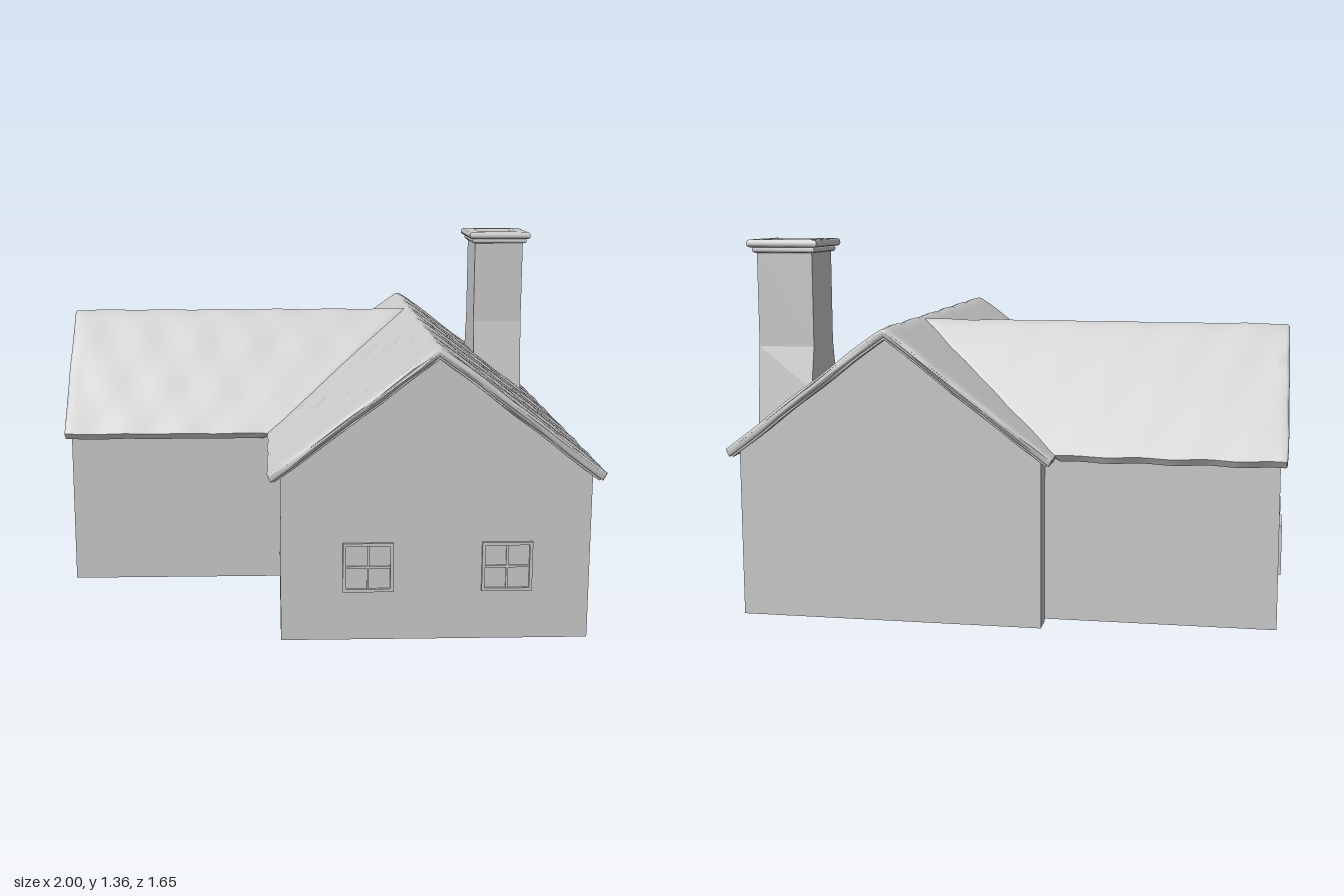
import * as THREE from 'three';
import { toCreasedNormals } from 'three/addons/utils/BufferGeometryUtils.js';

const material = new THREE.MeshStandardMaterial({ color: 0xcccccc, side: THREE.DoubleSide });
const MAIN = { x: 0.4, half: 0.595, peak: 1.06, slope: 0.765 };
const WING = { z: -0.3, half: 0.436, peak: 1.055, slope: 1.03 };

function addMesh(parent, name, geometry) {
  const mesh = new THREE.Mesh(geometry, material);
  mesh.name = name;
  parent.add(mesh);
  return mesh;
}

// Apply a rule to every vertex of a geometry
function moveVertices(geometry, rule) {
  const pos = geometry.attributes.position;
  const v = new THREE.Vector3();
  for (let i = 0; i < pos.count; i++) {
    rule(v.fromBufferAttribute(pos, i));
    pos.setXYZ(i, v.x, v.y, v.z);
  }
  return geometry;
}

// Gabled slab along z, with a soft ridge and rounded edges
function roofGeometry({ half, peak, slope }, thick, length, bevel) {
  const n = 14, top = [], bottom = [];
  for (let i = -n; i <= n; i++) {
    const x = Math.sign(i) * half * Math.pow(Math.abs(i) / n, 1.5);
    const y = peak + 0.008 - slope * Math.hypot(x, 0.012);
    top.push(new THREE.Vector2(x, y));
    const xb = x * (1 - 0.014 / half);
    bottom.unshift(new THREE.Vector2(xb, peak - thick - slope * Math.abs(xb)));
  }
  const geo = new THREE.ExtrudeGeometry(new THREE.Shape([...bottom, ...top]), {
    depth: length - 2 * bevel, steps: 36, bevelEnabled: true, bevelThickness: bevel,
    bevelSize: bevel, bevelOffset: -bevel, bevelSegments: 3,
  });
  return geo.translate(0, 0, bevel - length / 2);
}

// Slight hand-worn unevenness
function wear(v) {
  const { x, y, z } = v;
  v.x += 0.002 * Math.sin(z * 31 + y * 9);
  v.y += 0.002 * Math.sin(x * 27 + z * 23);
  v.z += 0.003 * Math.sin(x * 29 + y * 17);
}

// Pentagonal gable wall facing +z
function gableGeometry(half, base, eave, peak) {
  return new THREE.ShapeGeometry(new THREE.Shape([
    new THREE.Vector2(-half, base), new THREE.Vector2(half, base),
    new THREE.Vector2(half, eave), new THREE.Vector2(0, peak), new THREE.Vector2(-half, eave),
  ]));
}

// Upright wall from (x0, z0) to (x1, z1)
function addWall(parent, name, x0, z0, x1, z1, base, top) {
  const geo = new THREE.PlaneGeometry(Math.hypot(x1 - x0, z1 - z0), top - base);
  const wall = addMesh(parent, name, geo);
  wall.position.set((x0 + x1) / 2, (base + top) / 2, (z0 + z1) / 2);
  wall.rotation.y = -Math.atan2(z1 - z0, x1 - x0);
}

function rectangle(Type, hw, hh) {
  return new Type([
    new THREE.Vector2(-hw, -hh), new THREE.Vector2(hw, -hh),
    new THREE.Vector2(hw, hh), new THREE.Vector2(-hw, hh),
  ]);
}

function rectFrame(hw, hh, iw, ih, options) {
  const shape = rectangle(THREE.Shape, hw, hh);
  shape.holes.push(rectangle(THREE.Path, iw, ih));
  return new THREE.ExtrudeGeometry(shape, options);
}

// Framed window with crossed glazing bars, facing +z
function createWindow() {
  const win = new THREE.Group();
  win.name = 'window';
  addMesh(win, 'windowFrame', rectFrame(0.09, 0.09, 0.079, 0.079, { depth: 0.011, bevelEnabled: false }));
  addMesh(win, 'verticalBar', new THREE.BoxGeometry(0.008, 0.16, 0.012));
  addMesh(win, 'horizontalBar', new THREE.BoxGeometry(0.16, 0.008, 0.012));
  return win;
}

function createChimney() {
  const chimney = new THREE.Group();
  chimney.name = 'chimney';
  const cx = 0.803, cz = -0.563;
  // Square flue: flared foot, straight shaft, hollow inside
  const profile = [[0.145, 0.68], [0.11, 0.975], [0.11, 1.34], [0.08, 1.34], [0.08, 1.0], [0, 1.0]];
  const stack = new THREE.LatheGeometry(
    profile.map(([r, y]) => new THREE.Vector2(r * Math.SQRT2, y)), 4).rotateY(Math.PI / 4);
  moveVertices(stack, (v) => {
    v.x = THREE.MathUtils.clamp(v.x, -0.103, 0.103) + cx;
    v.z += cz;
    // Foot follows the roof pitch
    if (v.y < 0.7) v.y = MAIN.peak - MAIN.slope * (v.x - MAIN.x) - 0.008;
  });
  const flat = stack.toNonIndexed();
  flat.computeVertexNormals();
  addMesh(chimney, 'chimneyStack', flat);
  // Two-step rounded cap
  for (const [name, hw, hh, y, height] of [
    ['chimneyCollar', 0.116, 0.124, 1.312, 0.022], ['chimneyCap', 0.13, 0.141, 1.332, 0.028]]) {
    const b = 0.01;
    const geo = rectFrame(hw - b, hh - b, 0.075 + b, 0.085 + b, {
      depth: height - 2 * b, bevelThickness: b, bevelSize: b, bevelSegments: 4 });
    geo.translate(0, 0, b).rotateX(-Math.PI / 2).translate(cx, y, cz);
    addMesh(chimney, name, toCreasedNormals(geo, 0.7));
  }
  return chimney;
}

export function createModel() {
  const house = new THREE.Group();
  house.name = 'house';

  // Main block walls, open towards the wing
  const walls = new THREE.Group();
  walls.name = 'walls';
  house.add(walls);
  const x0 = -0.15, x1 = 0.95, zf = 0.785, top = 0.615;
  for (const s of [1, -1]) {
    const gable = addMesh(walls, s > 0 ? 'frontGable' : 'backGable', gableGeometry(0.55, 0, 0.61, 1.03));
    gable.position.set(MAIN.x, 0, s * zf);
    gable.rotation.y = s > 0 ? 0 : Math.PI;
  }
  addWall(walls, 'leftWall', x1, zf, x1, -zf, 0, top);
  addWall(walls, 'rightWallFront', x0, 0.1, x0, zf, 0, top);
  addWall(walls, 'rightWallBack', x0, -zf, x0, -0.7, 0, top);

  // Wing walls
  const wx = -0.972;
  addWall(walls, 'wingFrontWall', wx, 0.1, x0, 0.1, 0.01, top);
  addWall(walls, 'wingBackWall', x0, -0.7, wx, -0.7, 0.01, top);
  const wingGable = addMesh(walls, 'wingGable', gableGeometry(0.4, 0.01, 0.61, 1.02));
  wingGable.position.set(wx, 0, WING.z);
  wingGable.rotation.y = -Math.PI / 2;

  // Roofs: a thick covering over a thinner board set slightly in
  const layers = [
    ['Roof', 0, 0.03, 0, 0.009],
    ['RoofBoard', 0.026, 0.014, 0.012, 0.002],
  ];
  for (const [name, drop, thick, inset, bevel] of layers) {
    const main = roofGeometry(
      { ...MAIN, peak: MAIN.peak - drop, half: MAIN.half - inset }, thick, 1.64 - 2 * inset, bevel);
    main.translate(MAIN.x, 0, 0);
    addMesh(house, 'main' + name, toCreasedNormals(moveVertices(main, wear), 0.8));

    const wing = roofGeometry(
      { ...WING, peak: WING.peak - drop, half: WING.half - inset }, thick, 1, bevel);
    wing.rotateY(-Math.PI / 2).translate(0.5, 0, WING.z);
    // Stretch the inner end to meet the main roof pitch along the valleys
    moveVertices(wing, (v) => {
      const start = -0.997 + inset;
      const end = MAIN.x - (MAIN.peak - v.y) / MAIN.slope + 0.006;
      v.x = start + v.x * (end - start);
      wear(v);
    });
    addMesh(house, 'wing' + name, toCreasedNormals(wing, 0.8));
  }

  // Windows: [x, z, turn]
  const spots = [
    [0.16, zf, 0], [0.655, zf, 0],
    ...[0.5, 0.01, -0.49].map((z) => [x1, z, Math.PI / 2]),
    ...[-0.505, -0.095].map((z) => [wx, z, -Math.PI / 2]),
  ];
  for (const [x, z, turn] of spots) {
    const win = createWindow();
    win.position.set(x, 0.27, z);
    win.rotation.y = turn;
    house.add(win);
  }

  house.add(createChimney());
  return house;
}
